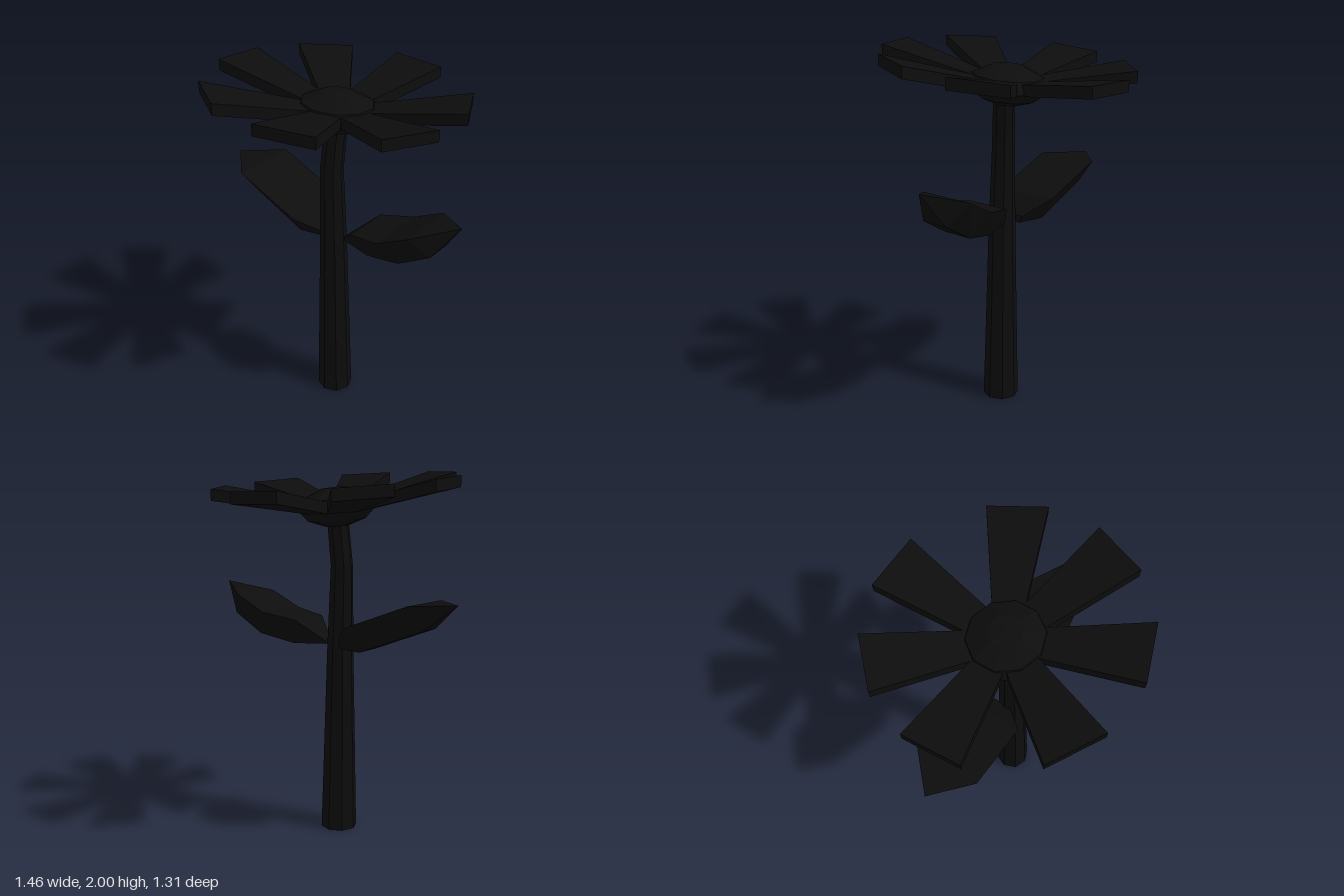
import * as THREE from 'three';

const charcoal = new THREE.MeshStandardMaterial({ color: 0x0d0d0d });
charcoal.name = 'charcoal';

// Closed, faceted solid through a list of convex rings of equal length.
// A ring whose points coincide makes a pointed end.
function loft(name, rings) {
  const tris = [];
  const add = (a, b, c) => {
    const area = b.clone().sub(a).cross(c.clone().sub(a)).length();
    if (area > 1e-7) tris.push([a, b, c]);
  };
  const n = rings[0].length, last = rings[rings.length - 1];
  for (let i = 0; i < rings.length - 1; i++) {
    for (let j = 0; j < n; j++) {
      const k = (j + 1) % n, p = rings[i], q = rings[i + 1];
      add(p[j], p[k], q[k]);
      add(p[j], q[k], q[j]);
    }
  }
  for (let j = 1; j < n - 1; j++) {
    add(rings[0][0], rings[0][j + 1], rings[0][j]);
    add(last[0], last[j], last[j + 1]);
  }
  // Turn all faces outwards whichever way the rings run
  const origin = rings[0][0];
  let volume = 0;
  for (const t of tris) {
    const [a, b, c] = t.map((v) => v.clone().sub(origin));
    volume += a.dot(b.cross(c));
  }
  if (volume < 0) tris.forEach((t) => t.reverse());
  const geometry = new THREE.BufferGeometry().setFromPoints(tris.flat());
  geometry.computeVertexNormals();
  const mesh = new THREE.Mesh(geometry, charcoal);
  mesh.name = name;
  return mesh;
}

const V = (x, y, z) => new THREE.Vector3(x, y, z);
const TILT = 0.107; // the blossom leans back: height gained per unit of z

// Tapering eight-sided stem with a slight bend near the top
function makeStem() {
  const stations = [ // x, y, z, radius
    [0.015, 0, 0.042, 0.1],
    [0.004, 1.0, 0.039, 0.074],
    [-0.008, 1.48, 0.037, 0.061],
    [0.007, 1.74, 0.019, 0.058],
  ];
  return loft('stem', stations.map(([x, y, z, r]) =>
    Array.from({ length: 8 }, (_, i) => {
      const a = (i / 8) * Math.PI * 2;
      return V(x + r * Math.cos(a), y, z + r * Math.sin(a));
    })));
}

// Leaf with a flat top between two rims and a narrower underside
function makeLeaf(name, stations, tip) {
  const rings = stations.map(([x, y, w, kx, ky, kw, z]) => [
    V(x, y, z - w), V(x, y, z + w), V(kx, ky, z + kw), V(kx, ky, z - kw),
  ]);
  rings.push(Array.from({ length: 4 }, () => V(...tip)));
  return loft(name, rings);
}

// Flat wedge-shaped petal, wider and higher at its outer end
function makePetal(degrees) {
  const a = THREE.MathUtils.degToRad(degrees);
  const ring = (r, w, y) =>
    [[-w, 0], [w, 0], [w, 0.06], [-w, 0.06]].map(([side, up]) => {
      const x = r * Math.cos(a) - side * Math.sin(a);
      const z = r * Math.sin(a) + side * Math.cos(a);
      return V(x, y + up + TILT * z, z);
    });
  return loft('petal', [ring(0.12, 0.072, 1.765), ring(0.645, 0.148, 1.872)]);
}

// Domed flower centre, sheared to lean with the petals
function makeCentre() {
  const profile = [
    [0, 1.692], [0.07, 1.698], [0.16, 1.732], [0.208, 1.785],
    [0.185, 1.845], [0.085, 1.893], [0, 1.9],
  ].map(([r, y]) => new THREE.Vector2(r, y));
  const geometry = new THREE.LatheGeometry(profile, 10).toNonIndexed();
  const p = geometry.attributes.position;
  for (let i = 0; i < p.count; i++) p.setY(i, p.getY(i) + TILT * p.getZ(i));
  geometry.computeVertexNormals();
  const mesh = new THREE.Mesh(geometry, charcoal);
  mesh.name = 'flowerCentre';
  return mesh;
}

export function createModel() {
  const model = new THREE.Group();
  model.name = 'flower';
  model.add(makeStem());

  // Stations: rim x, y, half width, underside x, y, half width, centre z
  model.add(makeLeaf('leftLeaf', [
    [0.06, 1.075, 0.03, 0.06, 1.055, 0.02, 0],
    [0.18, 1.19, 0.125, 0.24, 1.05, 0.06, -0.015],
    [0.36, 1.225, 0.16, 0.44, 1.095, 0.085, -0.035],
    [0.53, 1.315, 0.155, 0.615, 1.2, 0.075, -0.05],
  ], [0.725, 1.375, -0.065]));
  model.add(makeLeaf('rightLeaf', [
    [-0.05, 1.08, 0.06, -0.05, 1.04, 0.04, 0],
    [-0.16, 1.175, 0.178, -0.2, 1.04, 0.08, 0],
    [-0.54, 1.315, 0.178, -0.57, 1.18, 0.07, 0],
  ], [-0.73, 1.315, 0]));

  // Blossom
  const blossom = new THREE.Group();
  blossom.name = 'blossom';
  for (const angle of [21, 70.6, 120.8, 176.7, 224.2, 272.2, 332.3]) {
    blossom.add(makePetal(angle));
  }
  blossom.add(makeCentre());
  model.add(blossom);
  return model;
}
